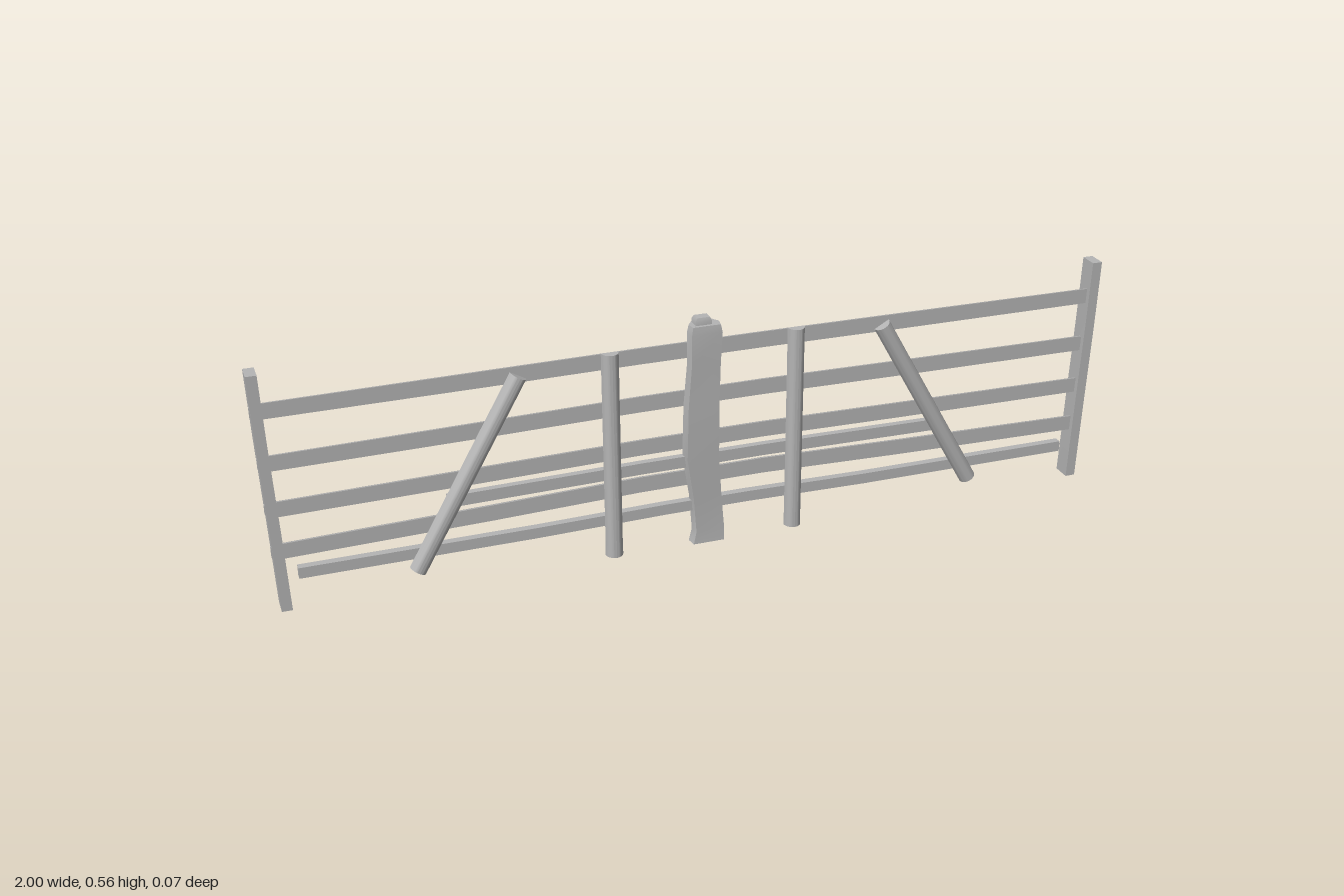
import * as THREE from 'three';
import { toCreasedNormals } from 'three/addons/utils/BufferGeometryUtils.js';

const wood = new THREE.MeshStandardMaterial({ color: 0xb4b4b4 });
wood.name = 'grey wood';

// Sweeps a convex [u, v] section along stations [along, offU, offV, scale].
// Axis 'x' maps u,v to y,z; axis 'y' maps u,v to z,x.
function loft(section, stations, axis) {
  const rings = stations.map(([t, du, dv, s = 1]) => section.map(([u, v]) => {
    const a = u * s + du, b = v * s + dv;
    return axis === 'x' ? [t, a, b] : [b, t, a];
  }));
  const pos = [], n = section.length;
  const tri = (a, b, c) => pos.push(...a, ...b, ...c);
  for (let i = 0; i < rings.length - 1; i++) {
    for (let j = 0; j < n; j++) {
      const k = (j + 1) % n;
      tri(rings[i][j], rings[i][k], rings[i + 1][k]);
      tri(rings[i][j], rings[i + 1][k], rings[i + 1][j]);
    }
  }
  const first = rings[0], last = rings[rings.length - 1];
  for (let j = 1; j < n - 1; j++) {
    tri(first[0], first[j + 1], first[j]);
    tri(last[0], last[j], last[j + 1]);
  }
  const geo = new THREE.BufferGeometry();
  geo.setAttribute('position', new THREE.Float32BufferAttribute(pos, 3));
  return toCreasedNormals(geo, 0.6);
}

// Half-round section starting at the given angle
function halfRound(ru, rv, start, steps = 10) {
  return Array.from({ length: steps + 1 }, (_, i) => {
    const a = start + Math.PI * i / steps;
    return [ru * Math.cos(a), rv * Math.sin(a)];
  });
}

function rect(u0, u1, v0, v1) {
  return [[u0, v0], [u1, v0], [u1, v1], [u0, v1]];
}

export function createModel() {
  const group = new THREE.Group();
  const add = (name, geo) => {
    const mesh = new THREE.Mesh(geo, wood);
    mesh.name = name;
    group.add(mesh);
    return mesh;
  };

  // Split-log rails: flat front, round back, gently bowed
  const railSection = halfRound(0.019, 0.021, Math.PI);
  const rails = [[0.478, 0.479], [0.356, 0.362], [0.246, 0.254], [0.144, 0.16]];
  rails.forEach(([end, mid], i) => {
    const step = (end + mid) / 2;
    add('rail' + (i + 1), loft(railSection, [
      [-0.975, end, 0, 0.95], [-0.5, step, -0.004], [-0.15, mid, -0.008],
      [0.15, mid, -0.008], [0.5, step, -0.004], [0.975, end, 0, 0.95],
    ], 'x'));
  });

  // Thin square-edged battens
  add('bottomBatten', loft(rect(-0.013, 0.013, -0.009, 0.009), [
    [-0.935, 0.09, 0.002], [-0.4, 0.091, 0.002], [-0.1, 0.096, 0.002],
    [0.1, 0.096, 0.002], [0.4, 0.091, 0.002], [0.93, 0.09, 0.002],
  ], 'x'));
  add('shortBatten', loft(rect(-0.014, 0.014, -0.008, 0.008), [
    [-0.6, 0.205, 0.004], [-0.15, 0.211, 0.004], [0.15, 0.211, 0.004], [0.6, 0.205, 0.004],
  ], 'x'));

  // Leaning end posts with rail tenons showing on the outside
  for (const side of [-1, 1]) {
    const name = side > 0 ? 'left' : 'right';
    add(name + 'EndPost', loft(rect(-0.033, 0.012, -0.012, 0.012), [
      [0.003, 0, side * 0.968], [0.2, 0, side * 0.975],
      [0.4, 0, side * 0.983], [0.565, 0, side * 0.988],
    ], 'y'));
    [0.477, 0.357, 0.249, 0.145].forEach((y, i) => {
      const tenon = add(name + 'Tenon' + (i + 1), new THREE.BoxGeometry(0.02, 0.024, 0.011));
      tenon.position.set(side * (0.972 + 0.02 * y / 0.565), y, -0.005);
    });

    // Half-round uprights and slanted braces on the front
    const pole = halfRound(0.022, 0.02, -Math.PI / 2);
    add(name + 'Upright', loft(pole, [
      [0.005, 0.011, 0, 1.03], [0.045, 0.011, 0], [0.508, 0.011, 0],
    ], 'y')).position.x = side > 0 ? 0.217 : -0.223;
    const bottom = new THREE.Vector2(side * 0.677, 0.05);
    const top = new THREE.Vector2(side * 0.43, 0.484);
    const brace = add(name + 'Brace', loft(pole, [
      [0, 0.011, 0], [bottom.distanceTo(top), 0.011, 0],
    ], 'y'));
    brace.position.set(bottom.x, bottom.y, 0);
    brace.rotation.z = -Math.atan2(top.x - bottom.x, top.y - bottom.y);
  }

  // Crooked centre post with a chamfered back
  add('centrePost', loft([
    [0.024, -0.036], [0.024, 0.036], [0, 0.04],
    [-0.026, 0.022], [-0.026, -0.022], [0, -0.04],
  ], [
    [0, 0, 0.004, 1.04], [0.03, 0, 0.008, 0.95], [0.12, 0, 0.001, 0.94],
    [0.22, 0, -0.01, 1.06], [0.35, 0, -0.008, 1.02], [0.45, 0, -0.002, 0.95],
    [0.525, 0, 0, 1], [0.543, 0, 0, 0.9],
  ], 'y'));
  add('centrePostTip', loft(rect(-0.014, 0.014, -0.02, 0.018), [
    [0.535, 0, -0.004], [0.552, 0, -0.004, 1], [0.56, 0, -0.004, 0.8],
  ], 'y'));

  return group;
}
